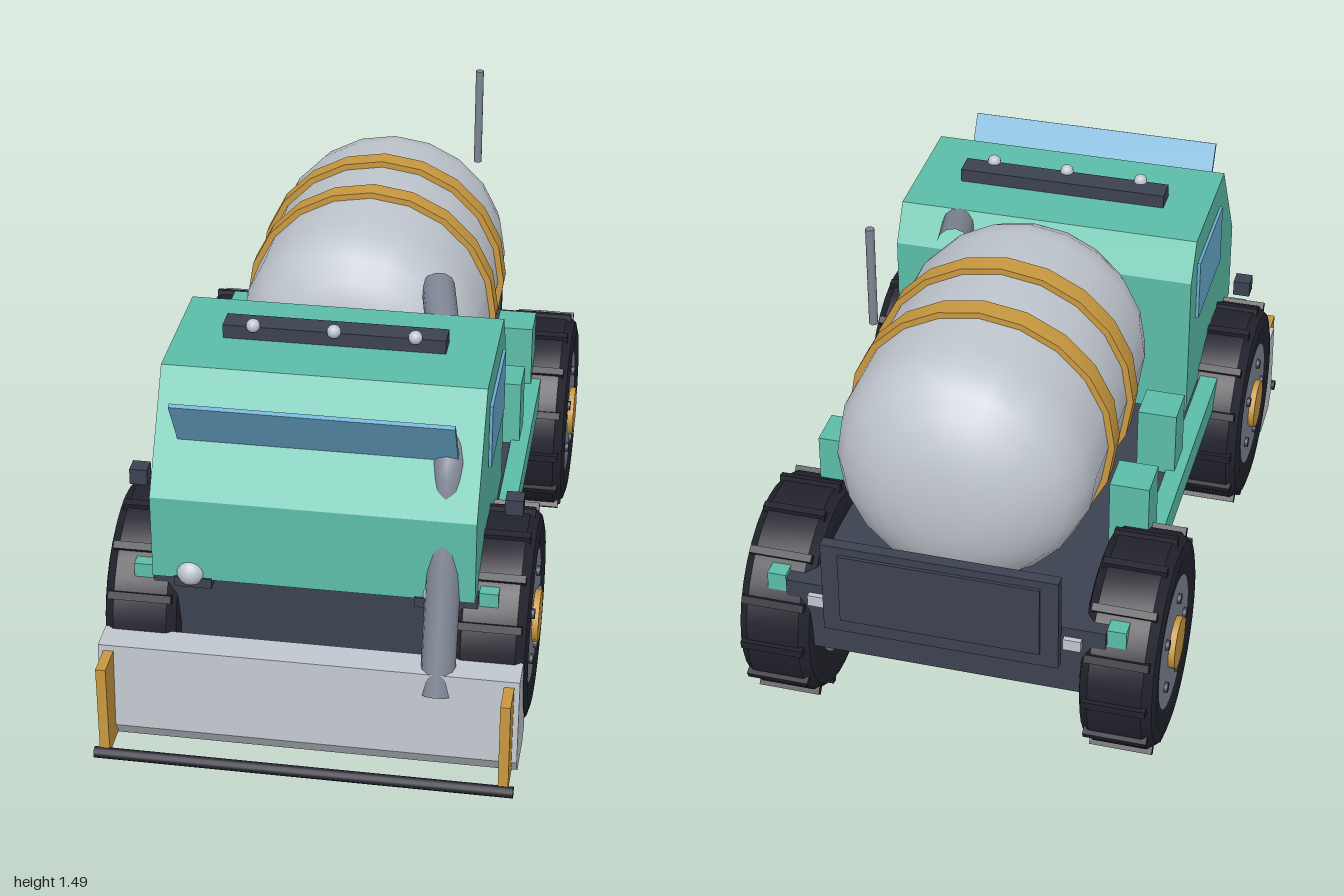
import * as THREE from 'three';
import { toCreasedNormals } from 'three/addons/utils/BufferGeometryUtils.js';

const paint = (name, color, side = THREE.FrontSide) => {
  const m = new THREE.MeshStandardMaterial({ color, side });
  m.name = name;
  return m;
};

export function createModel() {
  const green = paint('green', 0x5bbda7);
  const dark = paint('darkGrey', 0x3c4150);
  const black = paint('rubberBlack', 0x22222d);
  const orange = paint('ochre', 0xc8983f);
  const light = paint('lightGrey', 0xc0c6ce);
  const steel = paint('steelGrey', 0x7e8593);
  const blue = paint('glassBlue', 0x6aacd0);

  const model = new THREE.Group();
  model.name = 'tankTruck';

  const add = (name, geo, mat, parent = model) => {
    const mesh = new THREE.Mesh(geo, mat);
    mesh.name = name;
    parent.add(mesh);
    return mesh;
  };
  // box given by its limits on each axis
  const box = (name, mat, [x0, x1], [y0, y1], [z0, z1], parent = model) =>
    add(name, new THREE.BoxGeometry(x1 - x0, y1 - y0, z1 - z0)
      .translate((x0 + x1) / 2, (y0 + y1) / 2, (z0 + z1) / 2), mat, parent);
  // box on both sides of the truck
  const pair = (name, mat, [x0, x1], y, z) => {
    box(name + 'Left', mat, [x0, x1], y, z);
    box(name + 'Right', mat, [-x1, -x0], y, z);
  };
  // side profile of [z, y] points, extruded across x
  const across = (points, width) => {
    const shape = new THREE.Shape(points.map(([z, y]) => new THREE.Vector2(-z, y)));
    return new THREE.ExtrudeGeometry(shape, { depth: width, bevelEnabled: false })
      .translate(0, 0, -width / 2).rotateY(Math.PI / 2);
  };
  const lathe = (points, segments, crease) =>
    toCreasedNormals(new THREE.LatheGeometry(
      points.map(([r, h]) => new THREE.Vector2(r, h)), segments), crease);

  // chassis and side rails
  box('chassis', dark, [-0.45, 0.45], [0.31, 0.53], [-0.935, 0.755]);
  pair('sideRail', green, [0.452, 0.505], [0.46, 0.54], [-0.93, 0.75]);

  // cab
  add('cab', across([[0.785, 0.53], [0.785, 0.78], [0.59, 1.085], [0.185, 1.085],
    [0.12, 0.98], [0.12, 0.53]], 0.89), green);
  pair('sideWindow', blue, [0.446, 0.455], [0.81, 1.0], [0.204, 0.536]);
  add('visor', across([[0.79, 1.068], [0.779, 1.074], [0.684, 0.925], [0.695, 0.915]], 0.764), blue);
  pair('mirror', dark, [0.5, 0.55], [0.693, 0.74], [0.535, 0.585]);

  // roof light bar and headlights
  box('lightBar', dark, [-0.31, 0.31], [1.085, 1.125], [0.345, 0.415]);
  for (const x of [-0.225, 0, 0.225]) {
    add('roofLamp', new THREE.SphereGeometry(0.02, 12, 8), light).position.set(x, 1.128, 0.412);
  }
  pair('headlightBracket', dark, [0.28, 0.385], [0.505, 0.535], [0.74, 0.79]);
  for (const x of [-0.34, 0.34]) {
    add('headlight', new THREE.SphereGeometry(0.04, 16, 12), light).position.set(x, 0.545, 0.77);
  }

  // pipe from the blade, through the cab, to the tank
  const pipePath = [[0.355, 0.28, 0.865], [0.355, 0.5, 0.795], [0.355, 0.72, 0.73], [0.355, 0.91, 0.67],
    [0.34, 0.975, 0.56], [0.285, 1.025, 0.25], [0.235, 1.08, 0]].map(p => new THREE.Vector3(...p));
  add('pipe', new THREE.TubeGeometry(new THREE.CatmullRomCurve3(pipePath), 36, 0.048, 12), steel);

  // tank with two bands
  const tankY = 0.857;
  const tank = lathe([[0, -0.935], [0.1, -0.93], [0.18, -0.91], [0.25, -0.87], [0.31, -0.82],
    [0.345, -0.76], [0.36, -0.69], [0.36, -0.1], [0.345, -0.03], [0.31, 0.035],
    [0.25, 0.08], [0.18, 0.105], [0.1, 0.113], [0, 0.115]], 20, 0.7);
  add('tank', tank.rotateX(Math.PI / 2), light).position.y = tankY;
  for (const z of [-0.295, -0.52]) {
    const band = lathe([[0.35, -0.031], [0.378, -0.031], [0.378, 0.031], [0.35, 0.031]], 20, 0.6);
    add('tankBand', band.rotateX(Math.PI / 2), orange).position.set(0, tankY, z);
  }
  pair('frontCradle', green, [0.365, 0.477], [0.53, 0.73], [-0.195, -0.08]);
  pair('rearCradle', green, [0.365, 0.477], [0.53, 0.73], [-0.547, -0.432]);
  add('antenna', new THREE.CylinderGeometry(0.012, 0.012, 0.295, 10), steel)
    .position.set(0.275, 1.347, -0.617);

  // tail panel and lamps
  box('tailPanel', dark, [-0.33, 0.33], [0.42, 0.71], [-0.978, -0.945]);
  box('tailPanelInset', dark, [-0.28, 0.28], [0.465, 0.685], [-0.987, -0.978]);
  pair('tailLamp', light, [0.335, 0.385], [0.465, 0.5], [-0.95, -0.935]);

  // front blade with guard
  add('blade', across([[0.888, 0.355], [0.905, 0.1], [0.87, 0.05], [0.73, 0.045],
    [0.69, 0.075], [0.795, 0.355]], 1.166), light);
  pair('guardPlate', orange, [0.54, 0.568], [0.06, 0.338], [0.88, 0.982]);
  add('guardBar', new THREE.CylinderGeometry(0.016, 0.016, 1.166, 12).rotateZ(Math.PI / 2), black)
    .position.set(0, 0.06, 0.984);

  // wheels, built with the outer face towards +x and turned round for the other side
  const makeWheel = () => {
    const wheel = new THREE.Group();
    wheel.name = 'wheel';
    const disc = (name, r, x0, x1, sides, mat) =>
      add(name, new THREE.CylinderGeometry(r, r, x1 - x0, sides).rotateZ(-Math.PI / 2)
        .translate((x0 + x1) / 2, 0, 0), mat, wheel);
    const tire = lathe([[0.19, -0.1], [0.255, -0.108], [0.285, -0.1], [0.305, -0.075],
      [0.305, 0.075], [0.285, 0.1], [0.255, 0.108], [0.19, 0.1]], 32, 0.6);
    add('tire', tire.rotateZ(-Math.PI / 2), black, wheel);
    disc('rim', 0.194, -0.1, 0.1, 32, steel);
    disc('hub', 0.075, 0.09, 0.118, 12, orange);
    for (let i = 0; i < 14; i++) {
      const tread = add('tread', new THREE.BoxGeometry(0.178, 0.024, 0.022), black, wheel);
      const a = (i + 0.5) / 14 * Math.PI * 2;
      tread.position.set(0, Math.cos(a) * 0.306, Math.sin(a) * 0.306);
      tread.rotation.x = a;
    }
    for (let i = 0; i < 5; i++) {
      const a = i / 5 * Math.PI * 2;
      disc('bolt', 0.015, 0.095, 0.11, 8, dark).position.set(0, Math.sin(a) * 0.13, -Math.cos(a) * 0.13);
    }
    return wheel;
  };
  for (const z of [0.505, -0.675]) {
    for (const side of [-1, 1]) {
      const wheel = makeWheel();
      wheel.position.set(side * 0.485, 0.318, z);
      if (side < 0) wheel.rotation.y = Math.PI;
      model.add(wheel);
    }
  }
  return model;
}
